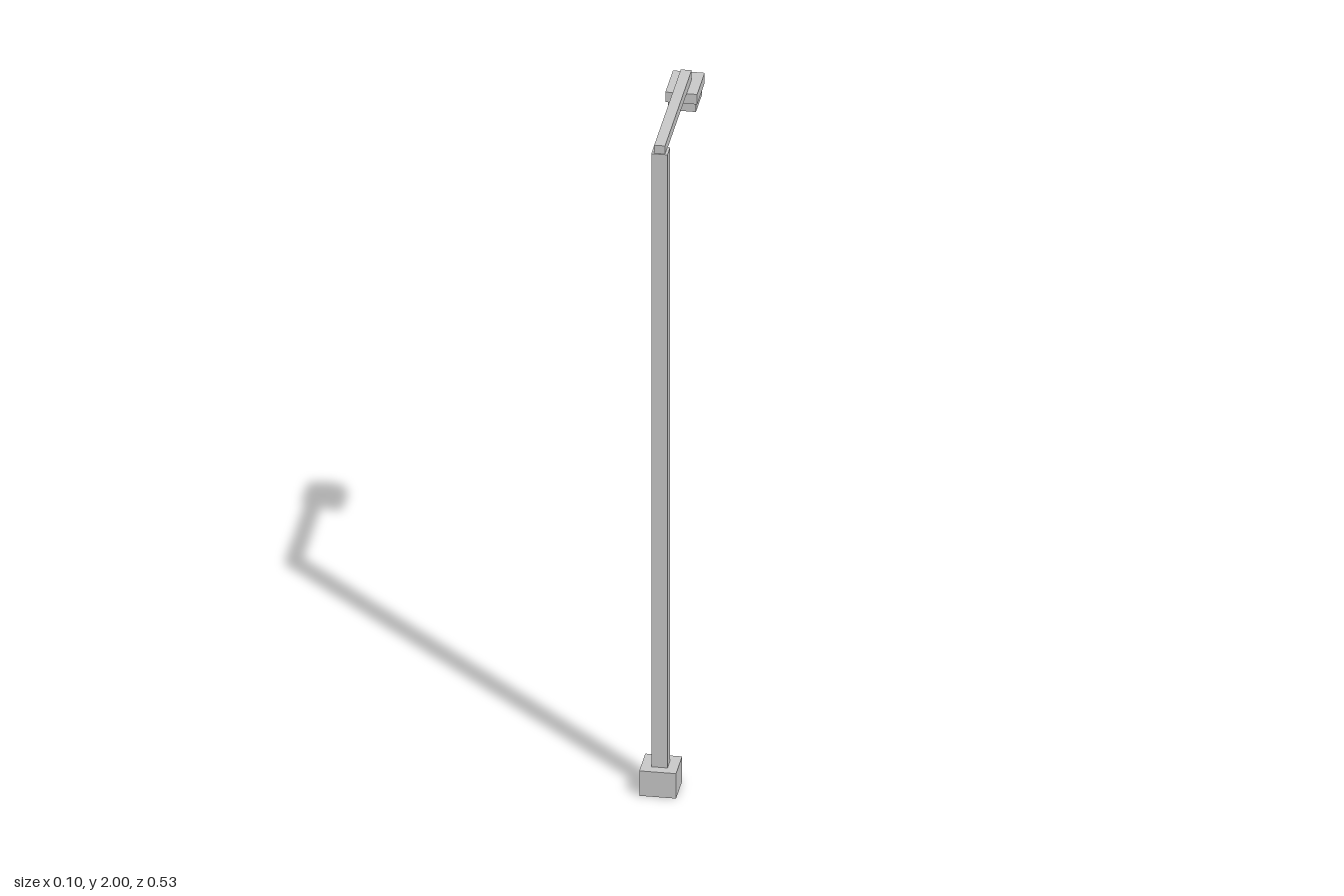
import * as THREE from 'three';

export function createModel() {
  const group = new THREE.Group();
  const material = new THREE.MeshStandardMaterial({ color: 0xcccccc, flatShading: true });

  // Box centred on x, given its width and its y and z ranges
  function block(name, width, y0, y1, z0, z1) {
    const mesh = new THREE.Mesh(new THREE.BoxGeometry(width, y1 - y0, z1 - z0), material);
    mesh.name = name;
    mesh.position.set(0, (y0 + y1) / 2, (z0 + z1) / 2);
    group.add(mesh);
  }

  // Footing and upright
  block('base', 0.102, 0, 0.077, 0.16, 0.262);
  block('post', 0.045, 0.077, 1.975, 0.188, 0.233);

  // Arm reaching back from the top of the post
  block('arm', 0.03, 1.971, 2, -0.219, 0.229);

  // Lamp head hanging under the end of the arm
  block('lampHousing', 0.088, 1.94, 1.971, -0.264, -0.136);
  block('lampLens', 0.078, 1.911, 1.94, -0.25, -0.146);

  return group;
}
